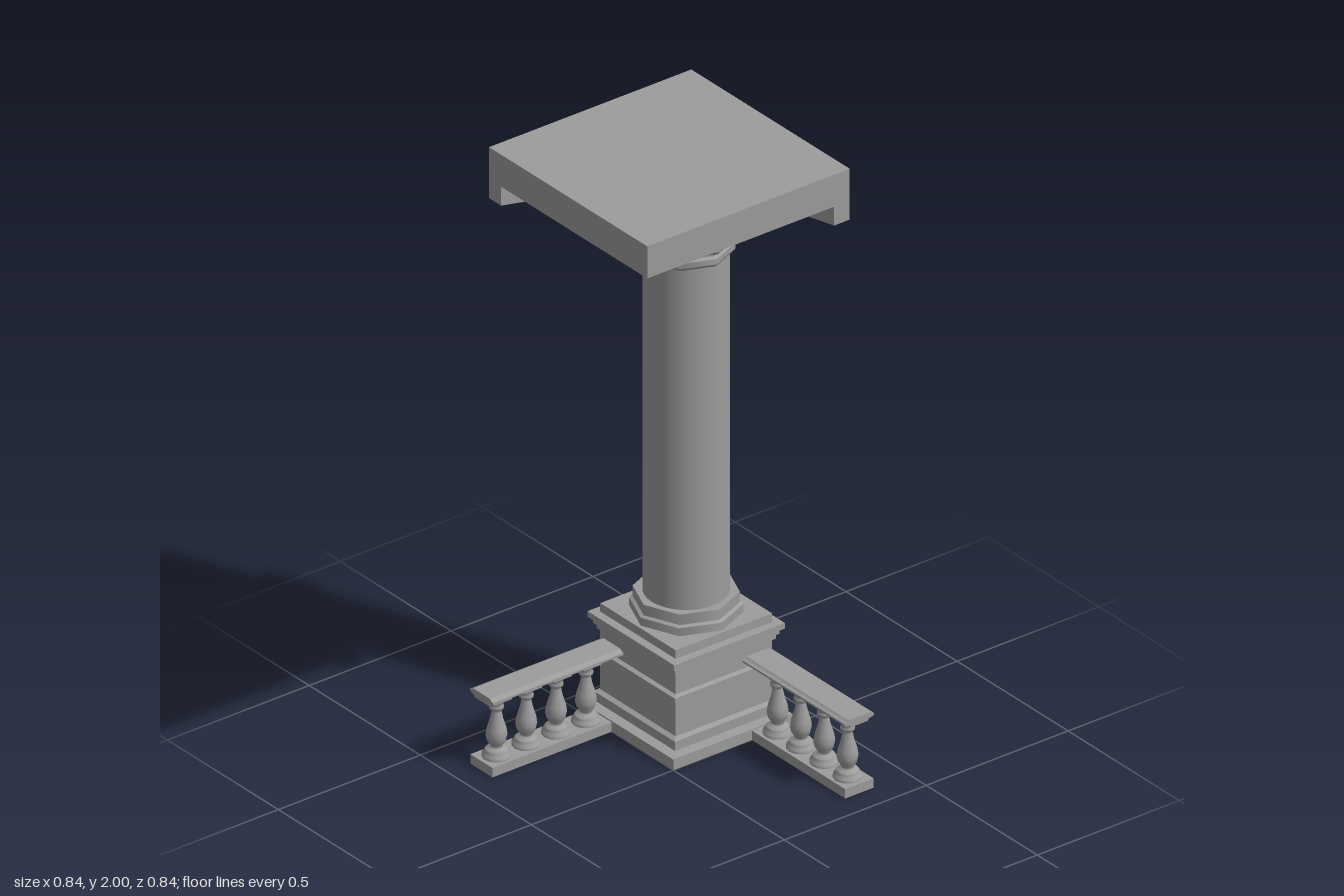
import * as THREE from 'three';
import { mergeGeometries } from 'three/addons/utils/BufferGeometryUtils.js';

const stone = new THREE.MeshStandardMaterial({ color: 0x9c9c9c });
const facetedStone = new THREE.MeshStandardMaterial({ color: 0x9c9c9c, flatShading: true });
const C = -0.21; // column axis, in both x and z

function mesh(name, geometry, material = facetedStone) {
  const m = new THREE.Mesh(geometry, material);
  m.name = name;
  return m;
}

function box(name, x0, x1, y0, y1, z0, z1) {
  const g = new THREE.BoxGeometry(x1 - x0, y1 - y0, z1 - z0);
  return mesh(name, g.translate((x0 + x1) / 2, (y0 + y1) / 2, (z0 + z1) / 2));
}

// Turned profile of [radius, y] pairs, listed from bottom to top
function turned(profile, sides) {
  return new THREE.LatheGeometry(profile.map(([r, y]) => new THREE.Vector2(r, y)), sides);
}

// Turned profile, smooth around the axis but sharp between its bands
function turnedBands(profile, sides) {
  return mergeGeometries(profile.slice(1).map((p, i) => turned([profile[i], p], sides)));
}

// Square profile of [half width, y] pairs
function squared(profile) {
  return turned(profile.map(([w, y]) => [w * Math.SQRT2, y]), 4).rotateY(Math.PI / 4);
}

// Cross-section of [z, y] pairs for one half, mirrored and swept along x
function moulding(half, x0, x1) {
  const pts = [...half, ...half.slice().reverse().map(([z, y]) => [-z, y])];
  const shape = new THREE.Shape(pts.map(([z, y]) => new THREE.Vector2(z, y)));
  return new THREE.ExtrudeGeometry(shape, { depth: x1 - x0, bevelEnabled: false })
    .rotateY(Math.PI / 2).translate(x0, 0, 0);
}

function createBalustrade() {
  const g = new THREE.Group();
  g.name = 'balustrade';
  g.add(box('balustradeBase', 0, 0.42, 0, 0.03, -0.05, 0.05));
  g.add(mesh('handrail', moulding(
    [[0.03, 0.22], [0.033, 0.226], [0.052, 0.231], [0.052, 0.237], [0.044, 0.24], [0.038, 0.245]],
    -0.04, 0.42)));
  const profile = [
    [0.042, 0.03], [0.042, 0.039], [0.034, 0.043], [0.035, 0.05], [0.03, 0.056], [0.019, 0.06],
    [0.018, 0.066], [0.027, 0.08], [0.031, 0.098], [0.028, 0.118], [0.019, 0.148], [0.014, 0.172],
    [0.014, 0.178], [0.021, 0.182], [0.021, 0.19], [0.016, 0.195], [0.024, 0.207], [0.027, 0.213],
  ];
  for (let i = 0; i < 4; i++) {
    const b = new THREE.Group();
    b.name = 'baluster';
    b.position.x = 0.052 + i * 0.105;
    b.add(mesh('balusterBody', turned(profile, 12), stone));
    b.add(box('balusterCap', -0.031, 0.031, 0.212, 0.222, -0.031, 0.031));
    g.add(b);
  }
  return g;
}

// Half-arch wall rising from the capital to the slab
function createArch() {
  const shape = new THREE.Shape();
  shape.moveTo(-0.13, 1.61);
  shape.splineThru([[0, 1.695], [0.1, 1.752], [0.2, 1.788], [0.3, 1.814], [0.42, 1.838]]
    .map(([x, y]) => new THREE.Vector2(x, y)));
  shape.lineTo(0.42, 1.898);
  shape.lineTo(-0.13, 1.898);
  shape.closePath();
  const geo = new THREE.ExtrudeGeometry(shape, { depth: 0.055, bevelEnabled: false, curveSegments: 12 });
  return mesh('archWall', geo.translate(0, 0, -0.0275));
}

export function createModel() {
  const model = new THREE.Group();
  model.name = 'balconyColumn';

  const column = new THREE.Group();
  column.name = 'column';
  column.position.set(C, 0, C);
  model.add(column);

  // Square pedestal with bands and stepped cornice
  column.add(mesh('pedestal', squared([
    [0, 0], [0.21, 0], [0.21, 0.034], [0.178, 0.036], [0.178, 0.055],
    [0.184, 0.058], [0.184, 0.07], [0.17, 0.076],
    [0.17, 0.19], [0.183, 0.194], [0.183, 0.206], [0.17, 0.21],
    [0.17, 0.265], [0.177, 0.27], [0.177, 0.282], [0.184, 0.286], [0.184, 0.3],
    [0.195, 0.304], [0.195, 0.322], [0.17, 0.323], [0.17, 0.35], [0, 0.35],
  ])));

  // Octagonal foot of the shaft
  column.add(mesh('columnFoot', turnedBands([
    [0.16, 0.35], [0.16, 0.375], [0.15, 0.38], [0.15, 0.413], [0, 0.413],
  ], 8), stone));

  // Round shaft
  column.add(mesh('shaft', new THREE.CylinderGeometry(0.122, 0.122, 1.1, 32, 1, true)
    .translate(0, 0.96, 0), stone));

  // Octagonal capital with three rings
  column.add(mesh('capital', turnedBands([
    [0, 1.497], [0.132, 1.497], [0.138, 1.506], [0.138, 1.523], [0.128, 1.528], [0.128, 1.536],
    [0.142, 1.54], [0.149, 1.55], [0.149, 1.563], [0.136, 1.568], [0.136, 1.578],
    [0.155, 1.582], [0.163, 1.592], [0.163, 1.604], [0.155, 1.61], [0, 1.61],
  ], 8), stone));

  // Block above the capital and the floor slab
  model.add(box('springerBlock', -0.293, -0.13, 1.61, 1.898, -0.293, -0.13));
  model.add(box('slab', -0.293, 0.42, 1.898, 2, -0.293, 0.42));

  // Balustrade and arch repeat along x and along z
  for (const [make, offset] of [[createBalustrade, -0.327], [createArch, -0.2655]]) {
    const alongX = make();
    alongX.position.z = offset;
    const alongZ = make();
    alongZ.rotation.y = -Math.PI / 2;
    alongZ.position.x = offset;
    model.add(alongX, alongZ);
  }
  return model;
}
